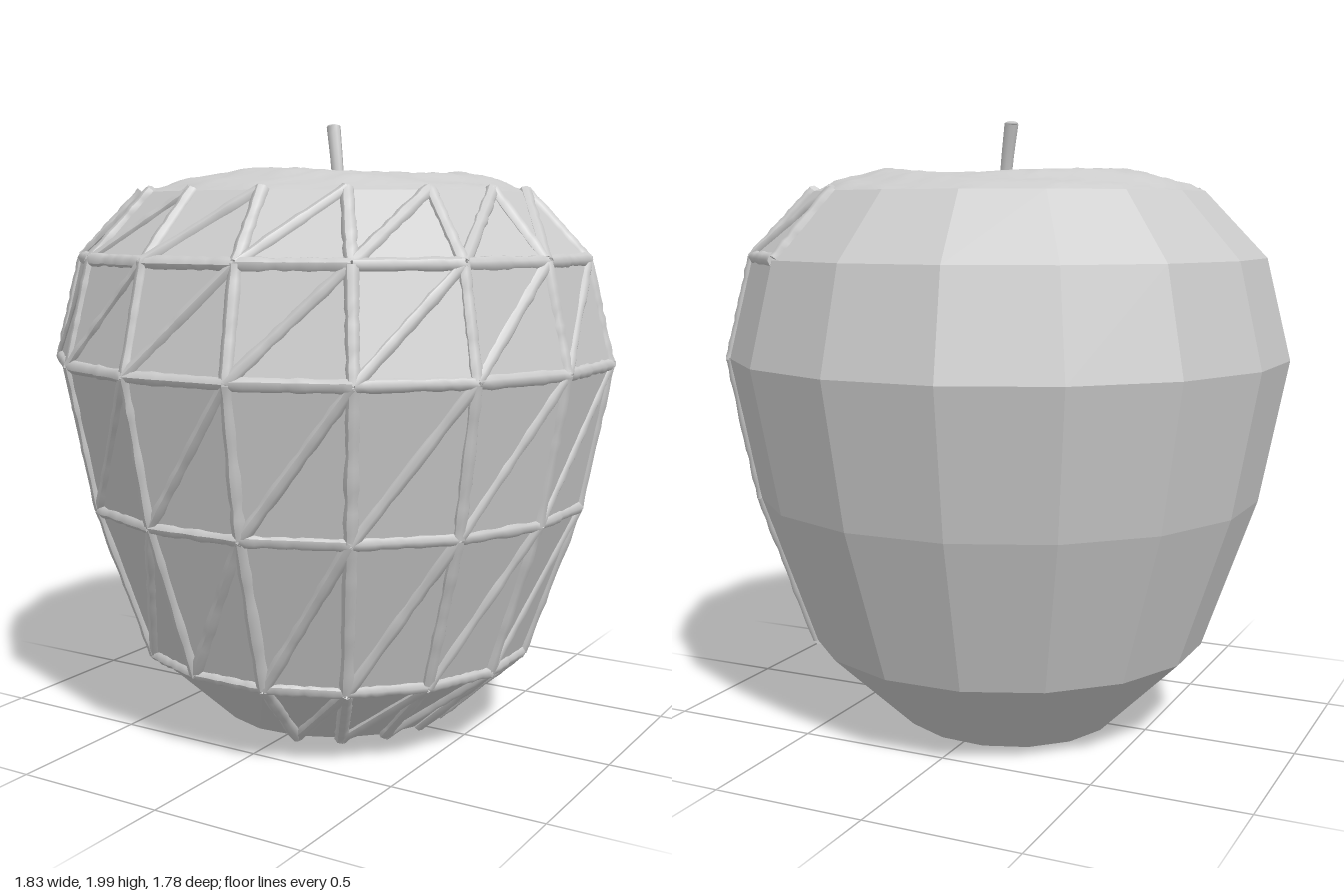
import * as THREE from 'three';

const SIDES = 16, STEP = (Math.PI * 2) / SIDES, DEPTH = 0.975;
const grey = (opts = {}) => new THREE.MeshStandardMaterial({ color: 0xcccccc, ...opts });

// radius and height of each faceted ring, bottom to top
const RINGS = [[0.375, 0.022], [0.66, 0.285], [0.835, 0.78], [0.925, 1.24], [0.845, 1.565], [0.645, 1.775]];

// corner k of ring i; k = 0 is just right of the front centre, k grows towards +x
function corner(i, k) {
  const [r, y] = RINGS[i];
  const a = (k + 0.5) * STEP;
  const x = r * Math.sin(a), z = r * Math.cos(a) * DEPTH;
  return new THREE.Vector3(x, i === 0 ? y + 0.03 * (x + z) : y, z);
}

// small repeatable bumps
function noise(a, b) {
  const s = Math.sin(a * 12.9898 + b * 78.233) * 43758.5453;
  return (s - Math.floor(s)) * 2 - 1;
}

function meshFrom(name, pos, index, material) {
  const g = new THREE.BufferGeometry();
  g.setAttribute('position', new THREE.Float32BufferAttribute(pos, 3));
  g.setIndex(index);
  g.computeVertexNormals();
  const m = new THREE.Mesh(g, material);
  m.name = name;
  return m;
}

// faceted side wall with the hollow underside
function makeBody() {
  const pos = [], index = [];
  RINGS.forEach((ring, i) => {
    for (let k = 0; k < SIDES; k++) pos.push(...corner(i, k).toArray());
  });
  for (let i = 0; i < RINGS.length - 1; i++) {
    for (let k = 0; k < SIDES; k++) {
      const a = i * SIDES + k, b = i * SIDES + (k + 1) % SIDES;
      index.push(a, b, b + SIDES, a, b + SIDES, a + SIDES);
    }
  }
  const inner = pos.length / 3;
  for (let k = 0; k < SIDES; k++) {
    const p = corner(0, k);
    pos.push(p.x * 0.45, 0.07, p.z * 0.45);
  }
  const centre = pos.length / 3;
  pos.push(0, 0.11, 0);
  for (let k = 0; k < SIDES; k++) {
    const n = (k + 1) % SIDES;
    index.push(k, inner + k, inner + n, k, inner + n, n, inner + k, centre, inner + n);
  }
  return meshFrom('body', pos, index, grey({ flatShading: true }));
}

// rough shoulder that rolls over into the stem hollow
function makeTop() {
  const SEG = 96, ROWS = 30, pos = [], index = [];
  const profile = new THREE.CatmullRomCurve3([
    [0.645, 1.775], [0.54, 1.81], [0.42, 1.835], [0.32, 1.805], [0.22, 1.745],
    [0.13, 1.68], [0.06, 1.63], [0.004, 1.605],
  ].map(([r, y]) => new THREE.Vector3(r, y, 0)));
  const per = SEG / SIDES;
  for (let j = 0; j <= ROWS; j++) {
    const t = j / ROWS, p = profile.getPoint(t);
    for (let s = 0; s < SEG; s++) {
      const k = Math.floor(s / per), f = (s % per) / per;
      const edge = corner(5, k).lerp(corner(5, k + 1), f);
      const a = (s / per + 0.5) * STEP;
      // the polygon outline becomes round towards the hollow
      const round = Math.min(1, t * 2.5);
      const x = THREE.MathUtils.lerp(edge.x / 0.645, Math.sin(a), round) * p.x;
      const z = THREE.MathUtils.lerp(edge.z / 0.645, Math.cos(a) * DEPTH, round) * p.x;
      const swell = Math.sin(Math.PI * Math.min(1, t * 1.6));
      const bump = j === 0 ? 0 : (0.004 * noise(s, j) + 0.004 * Math.sin(5 * a + j)) * (1 - t * 0.5);
      pos.push(x, p.y + bump + swell * 0.008 * Math.sin(a * 3 + 1), z);
    }
  }
  for (let j = 0; j < ROWS; j++) {
    for (let s = 0; s < SEG; s++) {
      const a = j * SEG + s, b = j * SEG + (s + 1) % SEG;
      index.push(a, b, b + SEG, a, b + SEG, a + SEG);
    }
  }
  return meshFrom('top', pos, index, grey());
}

// raised seams along facet edges and diagonals, on the front and right
function makeSeams() {
  const group = new THREE.Group();
  group.name = 'seams';
  const material = grey();
  const seam = (a, b, name) => {
    const sink = p => new THREE.Vector3(p.x * 0.988, p.y, p.z * 0.988);
    const from = sink(a), dir = sink(b).sub(from);
    const g = new THREE.CylinderGeometry(0.022, 0.022, dir.length(), 8, 14);
    const v = g.attributes.position;
    for (let n = 0; n < v.count; n++) {
      const w = 1 + 0.12 * noise(Math.round(v.getY(n) * 100), dir.x * 10);
      v.setX(n, v.getX(n) * w);
      v.setZ(n, v.getZ(n) * w);
    }
    g.computeVertexNormals();
    const m = new THREE.Mesh(g, material);
    m.name = name;
    m.position.copy(from).addScaledVector(dir, 0.5);
    m.quaternion.setFromUnitVectors(new THREE.Vector3(0, 1, 0), dir.normalize());
    group.add(m);
  };
  // first and last seamed column in each band
  const bands = [[0, 4], [-2, 5], [-2, 5], [-3, 5], [-3, 6]];
  bands.forEach(([first, last], i) => {
    for (let k = first; k <= last; k++) {
      seam(corner(i, k), corner(i + 1, k), 'uprightSeam');
      if (k === last) continue;
      seam(corner(i, k), corner(i + 1, k + 1), 'diagonalSeam');
      if (i > 0) seam(corner(i, k), corner(i, k + 1), 'ringSeam');
    }
  });
  return group;
}

// thin leaning stem, widening at its cut end
function makeStem() {
  const path = new THREE.CatmullRomCurve3([
    new THREE.Vector3(0.015, 1.59, 0.005), new THREE.Vector3(0.015, 1.75, 0),
    new THREE.Vector3(0, 1.87, -0.012), new THREE.Vector3(-0.024, 1.992, -0.03),
  ]);
  const ROWS = 16, SEG = 10;
  const g = new THREE.TubeGeometry(path, ROWS, 0.02, SEG);
  const v = g.attributes.position, p = new THREE.Vector3();
  for (let n = 0; n < v.count; n++) {
    const t = Math.floor(n / (SEG + 1)) / ROWS, c = path.getPointAt(t);
    p.fromBufferAttribute(v, n).sub(c).multiplyScalar(0.9 + 0.25 * t * t).add(c);
    v.setXYZ(n, p.x, p.y, p.z);
  }
  g.computeVertexNormals();
  const stem = new THREE.Mesh(g, grey());
  stem.name = 'stem';
  const tip = new THREE.Mesh(new THREE.SphereGeometry(0.022, 10, 6), grey());
  tip.name = 'stemTip';
  tip.scale.y = 0.4;
  tip.position.copy(path.getPoint(1));
  const group = new THREE.Group();
  group.name = 'stemGroup';
  group.add(stem, tip);
  return group;
}

export function createModel() {
  const model = new THREE.Group();
  model.name = 'apple';
  model.add(makeBody(), makeTop(), makeSeams(), makeStem());
  return model;
}
